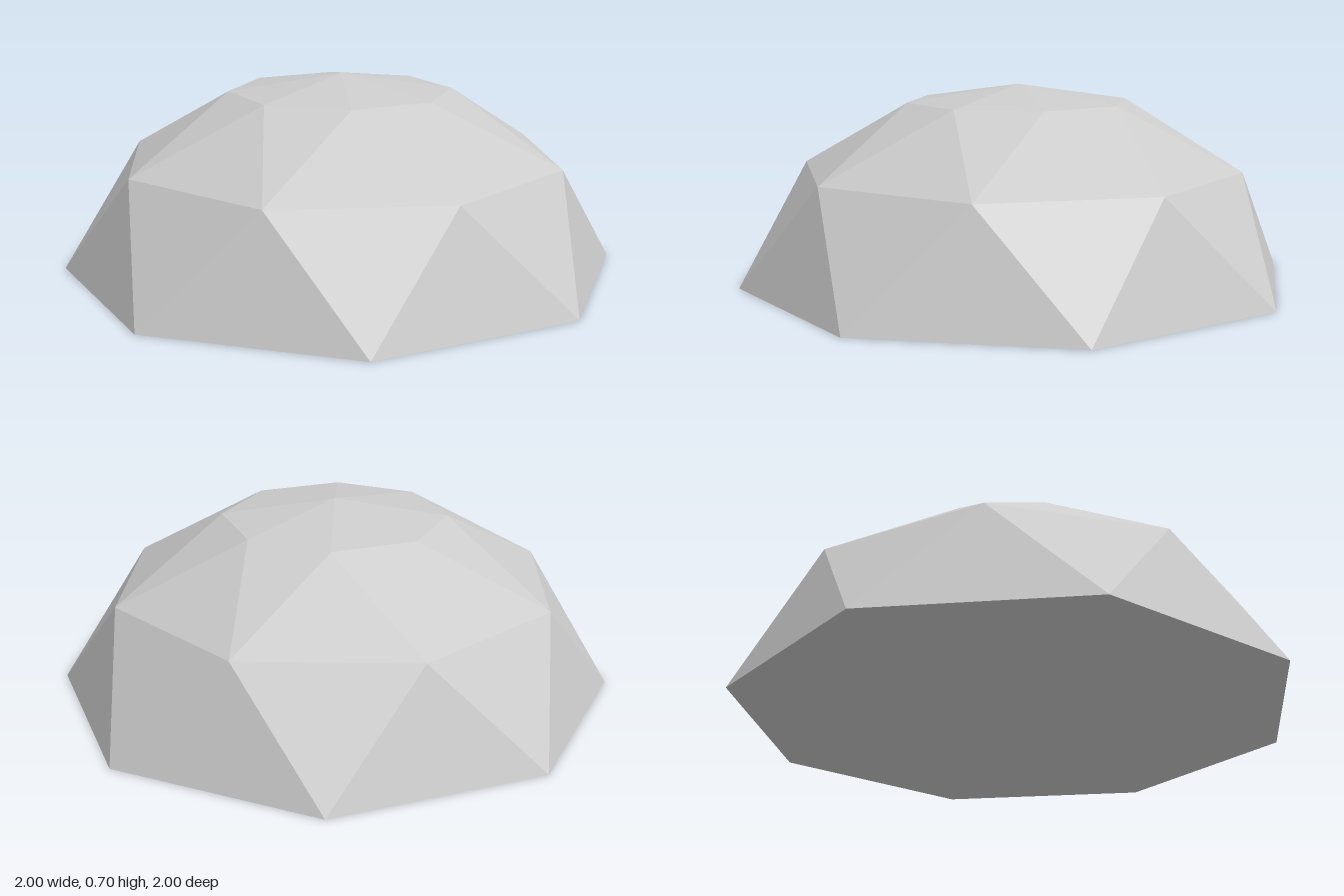
import * as THREE from 'three';

const SIDES = 8;

// Rings from ground to crown; each is turned half a step against the next
const RINGS = [
  { r: 1.0, y: 0.0, turn: 0 },
  { r: 0.8, y: 0.4, turn: 0.5 },
  { r: 0.4, y: 0.64, turn: 0 },
];

function ringPoint({ r, y, turn }, i) {
  const a = ((i + turn) / SIDES) * Math.PI * 2;
  return [r * Math.cos(a), y, r * Math.sin(a)];
}

function facetMesh(name, triangles, material) {
  const geometry = new THREE.BufferGeometry();
  geometry.setAttribute('position', new THREE.Float32BufferAttribute(triangles.flat(2), 3));
  geometry.computeVertexNormals(); // unshared corners give flat facets
  const mesh = new THREE.Mesh(geometry, material);
  mesh.name = name;
  return mesh;
}

export function createModel() {
  const group = new THREE.Group();
  group.name = 'facetedDome';
  const stone = new THREE.MeshStandardMaterial({ color: 0xcccccc, flatShading: true });
  stone.name = 'light grey';

  // Two bands of alternating triangles
  const band = (low, high) => {
    const triangles = [];
    const shift = low.turn > high.turn ? 1 : 0; // upper corner lying between low i and i + 1
    for (let i = 0; i < SIDES; i++) {
      const a = ringPoint(low, i), b = ringPoint(low, i + 1);
      const c = ringPoint(high, i + shift), d = ringPoint(high, i + shift + 1);
      triangles.push([a, c, b], [c, d, b]);
    }
    return triangles;
  };
  group.add(facetMesh('lowerFacets', band(RINGS[0], RINGS[1]), stone));
  group.add(facetMesh('upperFacets', band(RINGS[1], RINGS[2]), stone));

  // Shallow crown and flat underside
  const crown = [], base = [];
  for (let i = 0; i < SIDES; i++) {
    crown.push([ringPoint(RINGS[2], i), [0, 0.7, 0], ringPoint(RINGS[2], i + 1)]);
    base.push([[0, 0, 0], ringPoint(RINGS[0], i), ringPoint(RINGS[0], i + 1)]);
  }
  group.add(facetMesh('crown', crown, stone));
  group.add(facetMesh('base', base, stone));
  return group;
}
